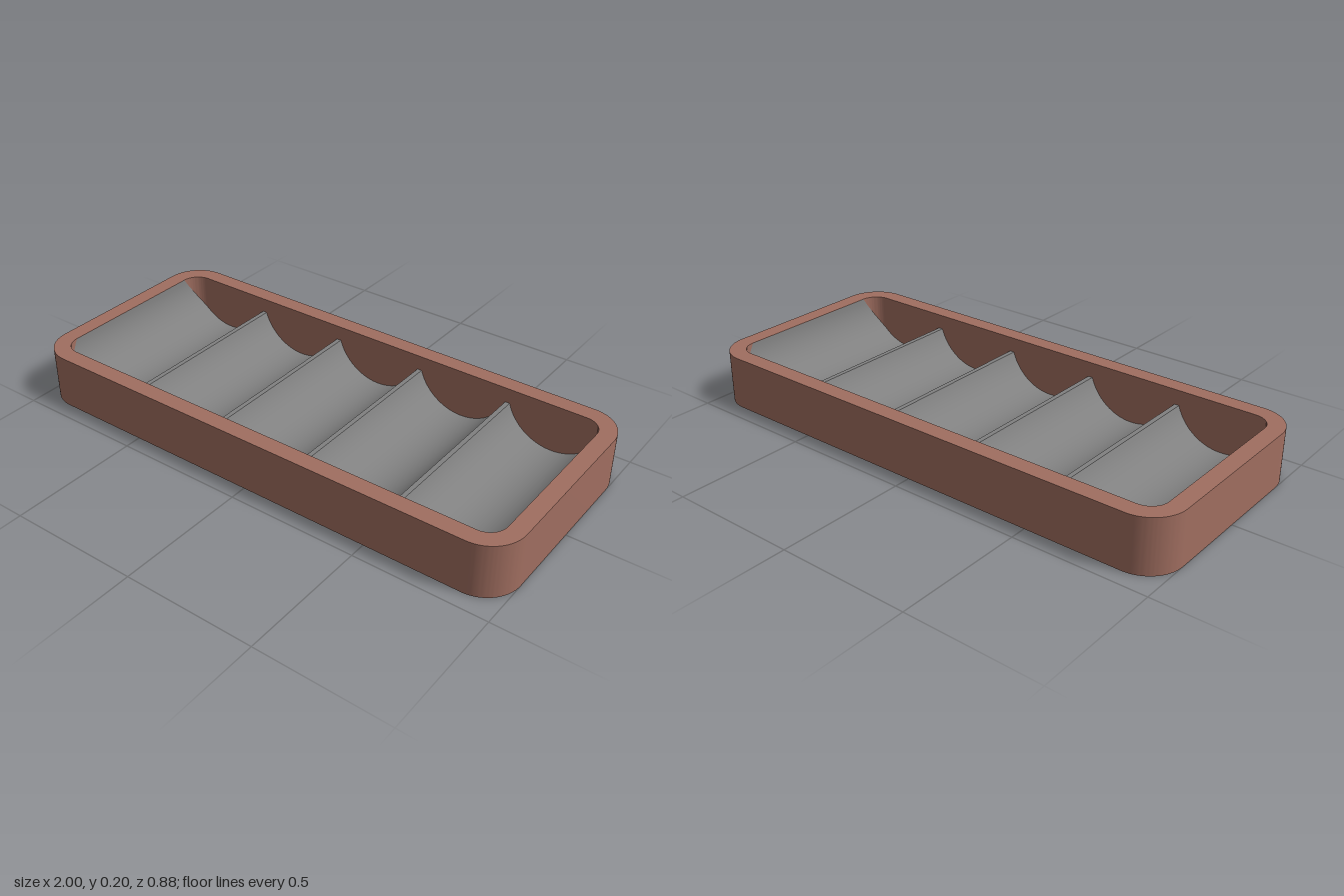
import * as THREE from 'three';
import { toCreasedNormals } from 'three/addons/utils/BufferGeometryUtils.js';

const HEIGHT = 0.205, INNER_X = 0.936, INNER_Z = 0.373, WALL = 0.065, INNER_R = 0.07;
const COUNT = 5, RADIUS = INNER_X / COUNT, RIDGE_Y = 0.147;

function roundedRect(hx, hz, r) {
  const s = new THREE.Shape();
  s.absarc(hx - r, hz - r, r, 0, Math.PI / 2);
  s.absarc(-hx + r, hz - r, r, Math.PI / 2, Math.PI);
  s.absarc(-hx + r, -hz + r, r, Math.PI, Math.PI * 1.5);
  s.absarc(hx - r, -hz + r, r, Math.PI * 1.5, Math.PI * 2);
  s.closePath();
  return s;
}

function slab(shape, depth) {
  const g = new THREE.ExtrudeGeometry(shape, { depth, bevelEnabled: false, curveSegments: 16 });
  g.rotateX(-Math.PI / 2);
  return toCreasedNormals(g, 0.6);
}

// Half depth of the rounded cavity at a given x
function halfDepth(x) {
  const d = Math.max(0, Math.abs(x) - (INNER_X - INNER_R));
  return INNER_Z - INNER_R + Math.sqrt(Math.max(0, INNER_R * INNER_R - d * d));
}

// Row of round scoops with narrow flat ridges between them
function scoopGeometry() {
  const axisY = HEIGHT - 0.001, steps = 28;
  const ridgeAngle = Math.asin((axisY - RIDGE_Y) / RADIUS);
  const pos = [], index = [];
  for (let i = 0; i < COUNT; i++) {
    const cx = (i - (COUNT - 1) / 2) * RADIUS * 2;
    const a0 = i === 0 ? 0 : ridgeAngle;
    const a1 = Math.PI - (i === COUNT - 1 ? 0 : ridgeAngle);
    for (let k = 0; k <= steps; k++) {
      const a = a0 + (a1 - a0) * k / steps;
      const x = cx - Math.cos(a) * RADIUS, y = axisY - Math.sin(a) * RADIUS;
      const h = halfDepth(x);
      pos.push(x, y, -h, x, y, h);
    }
  }
  for (let v = 0; v < pos.length / 3 - 2; v += 2) {
    index.push(v, v + 1, v + 2, v + 1, v + 3, v + 2);
  }
  const g = new THREE.BufferGeometry();
  g.setAttribute('position', new THREE.Float32BufferAttribute(pos, 3));
  g.setIndex(index);
  return toCreasedNormals(g, 0.6);
}

export function createModel() {
  const group = new THREE.Group();
  group.name = 'compartmentTray';
  const brown = new THREE.MeshStandardMaterial({ color: 0xa06e60 });
  const grey = new THREE.MeshStandardMaterial({ color: 0x808080, side: THREE.DoubleSide });
  const add = (name, geometry, material) => {
    const mesh = new THREE.Mesh(geometry, material);
    mesh.name = name;
    group.add(mesh);
  };

  // Outer wall
  const ring = roundedRect(INNER_X + WALL - 0.001, INNER_Z + WALL, INNER_R + WALL);
  ring.holes.push(roundedRect(INNER_X, INNER_Z, INNER_R));
  add('outerWall', slab(ring, HEIGHT), brown);

  // Closed underside
  add('floor', slab(roundedRect(INNER_X, INNER_Z, INNER_R), 0.01), brown);

  // Scooped insert
  add('scoopedInsert', scoopGeometry(), grey);
  return group;
}
